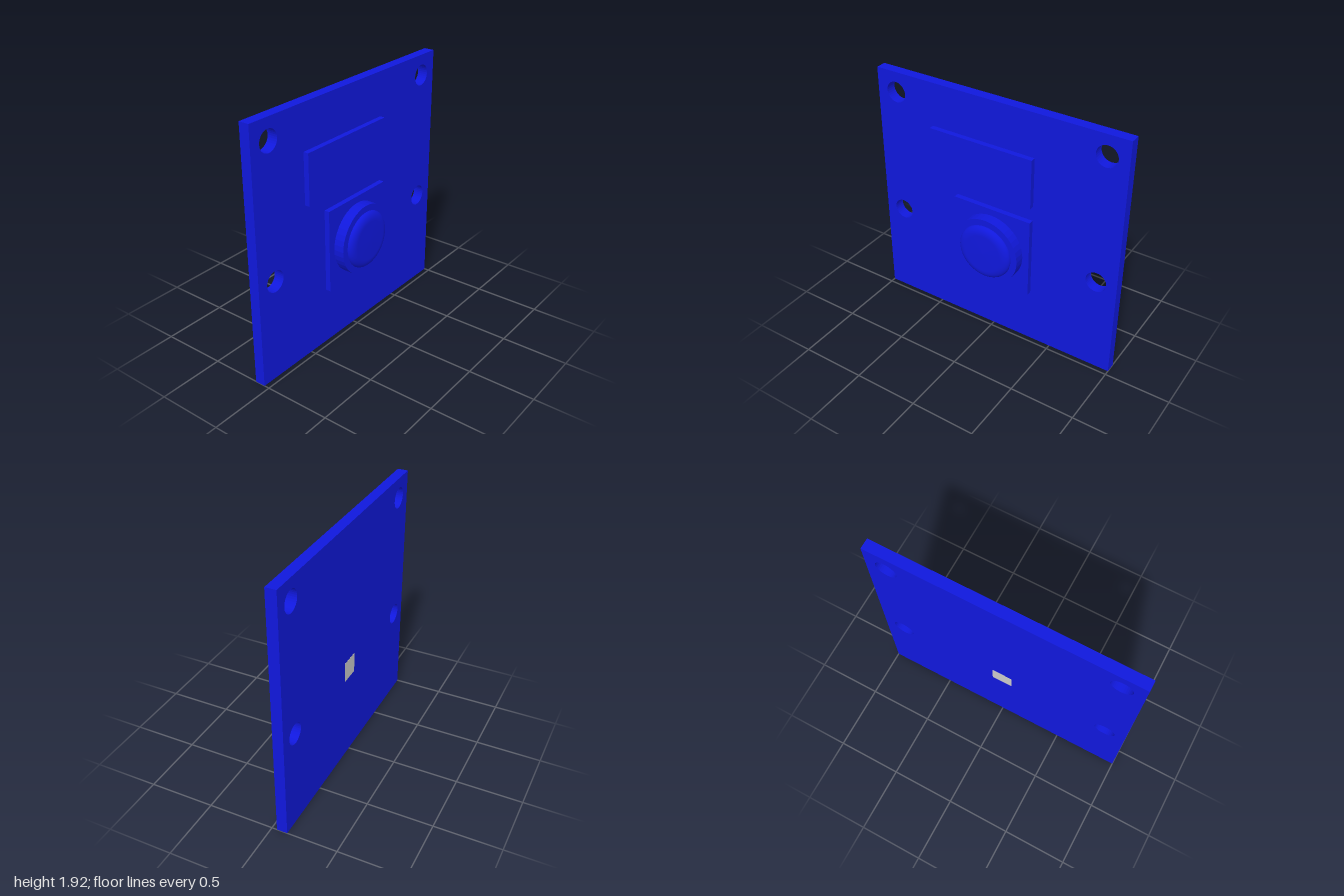
import * as THREE from 'three';

export function createModel() {
  const model = new THREE.Group();
  const blue = new THREE.MeshStandardMaterial({ color: 0x1018dd });
  const blueFlat = new THREE.MeshStandardMaterial({ color: 0x1018dd, flatShading: true });
  const grey = new THREE.MeshStandardMaterial({ color: 0xcccccc });
  const buttonY = 0.763;

  const add = (name, geometry, material, x, y, z) => {
    const mesh = new THREE.Mesh(geometry, material);
    mesh.name = name;
    mesh.position.set(x, y, z);
    model.add(mesh);
    return mesh;
  };

  // Wall plate, drawn with shape x = -z and extruded along +x, with four screw holes
  const plate = new THREE.Shape();
  plate.moveTo(-1, 0).lineTo(1, 0).lineTo(1, 1.92).lineTo(-1, 1.92).closePath();
  for (const z of [-0.84, 0.84]) {
    for (const y of [0.763, 1.763]) {
      plate.holes.push(new THREE.Path().absarc(z, y, 0.08, 0, Math.PI * 2, true));
    }
  }
  const plateGeometry = new THREE.ExtrudeGeometry(plate, {
    depth: 0.08, bevelEnabled: false, curveSegments: 16,
  });
  plateGeometry.rotateY(Math.PI / 2);
  add('plate', plateGeometry, blueFlat, -0.12, 0, 0);

  // Raised panels: upper label panel and the square base of the button
  add('labelPanel', new THREE.BoxGeometry(0.04, 0.385, 0.84), blue, -0.02, 1.393, 0.1);
  add('buttonBase', new THREE.BoxGeometry(0.04, 0.64, 0.64), blue, -0.02, buttonY, 0);

  // Round collar
  const collar = new THREE.CylinderGeometry(0.268, 0.268, 0.08, 40).rotateZ(-Math.PI / 2);
  add('buttonCollar', collar, blueFlat, 0.04, buttonY, 0);

  // Button cap: rounded rim running into an almost flat face
  const profile = [new THREE.Vector2(0.218, 0.06)];
  for (let i = 0; i <= 8; i++) {
    const a = (i / 8) * Math.PI / 2;
    profile.push(new THREE.Vector2(0.15 + 0.068 * Math.cos(a), 0.078 + 0.04 * Math.sin(a)));
  }
  profile.push(new THREE.Vector2(0, 0.12));
  const cap = new THREE.LatheGeometry(profile, 48).rotateZ(-Math.PI / 2);
  add('buttonCap', cap, blue, 0, buttonY, 0);

  // Square stem showing flush on the rear of the plate
  add('buttonStem', new THREE.BoxGeometry(0.101, 0.16, 0.16), grey, -0.0705, buttonY, 0);

  return model;
}
